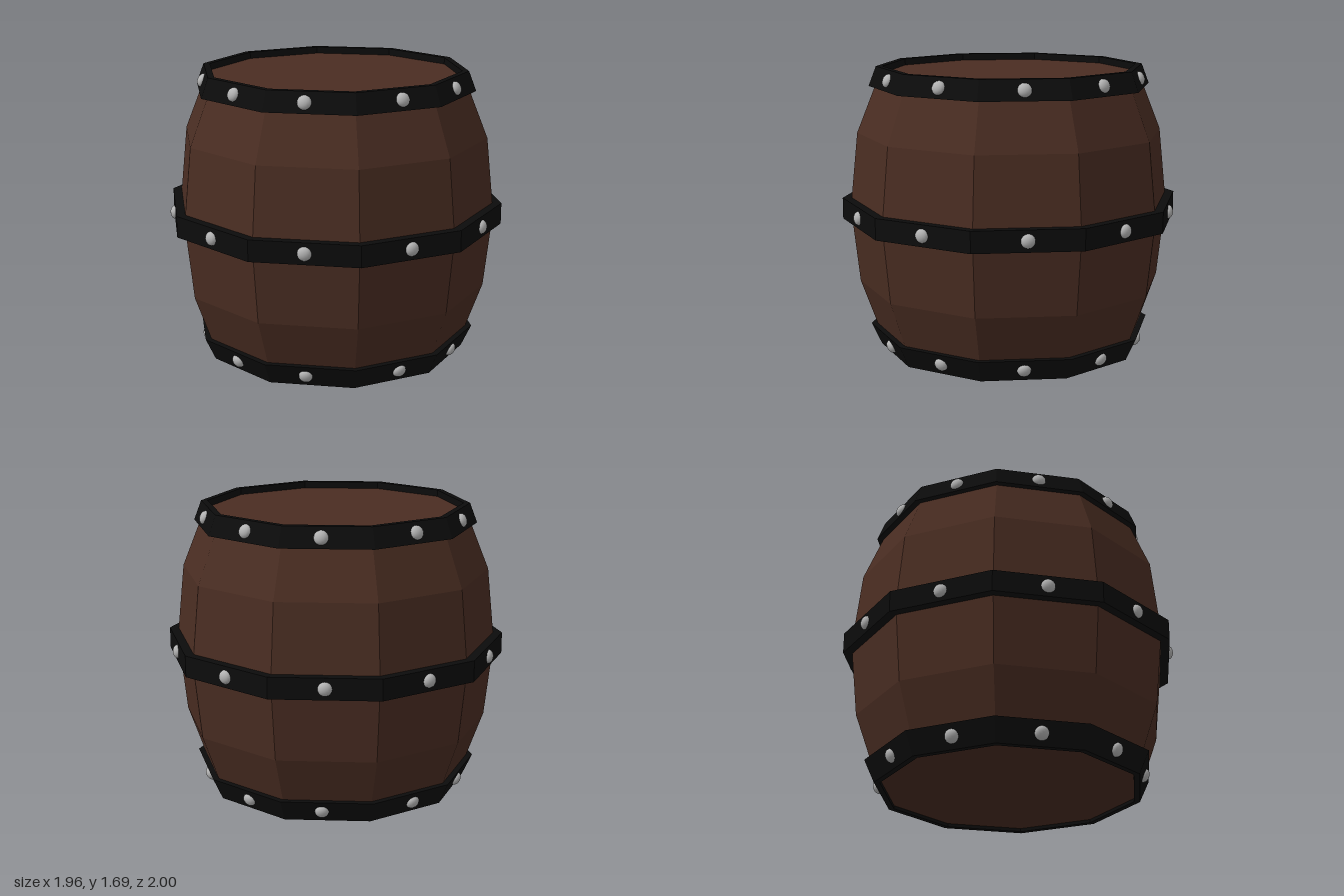
import * as THREE from 'three';

const SIDES = 10;

const material = (name, color) => {
  const m = new THREE.MeshStandardMaterial({ color });
  m.name = name;
  return m;
};

// Ten-sided faceted solid turned from a profile of [radius, y] points, bottom to top
function facetedLathe(profile) {
  const points = profile.map(([r, y]) => new THREE.Vector2(r, y));
  const geometry = new THREE.LatheGeometry(points, SIDES).toNonIndexed();
  geometry.computeVertexNormals();
  return geometry;
}

export function createModel() {
  const wood = material('brown wood', 0x4a2d22);
  const iron = material('black iron', 0x0c0c0c);
  const steel = material('grey steel', 0xb4b4b4);

  const barrel = new THREE.Group();
  barrel.name = 'barrel';

  // Wooden body with lids set slightly below the rims
  const body = new THREE.Mesh(facetedLathe([
    [0, 0.02], [0.77, 0.02], [0.905, 0.4], [0.953, 0.85],
    [0.905, 1.3], [0.765, 1.65], [0, 1.65],
  ]), wood);
  body.name = 'woodenBody';
  barrel.add(body);

  // Hoops: outer radius at the bottom and top edge, inner radius, rivet sideways shift
  const hoops = [
    { name: 'bottomHoop', y0: 0, y1: 0.13, r0: 0.785, r1: 0.845, inner: 0.75, shift: 0.03 },
    { name: 'middleHoop', y0: 0.785, y1: 0.91, r0: 1, r1: 1, inner: 0.9, shift: 0 },
    { name: 'topHoop', y0: 1.575, y1: 1.69, r0: 0.832, r1: 0.788, inner: 0.75, shift: 0.03 },
  ];
  const rivetGeometry = new THREE.SphereGeometry(0.04, 16, 12);

  for (const { name, y0, y1, r0, r1, inner, shift } of hoops) {
    const hoop = new THREE.Group();
    hoop.name = name;
    const band = new THREE.Mesh(facetedLathe([
      [inner, y0], [r0, y0], [r1, y1], [inner, y1], [inner, y0],
    ]), iron);
    band.name = 'band';
    hoop.add(band);

    // One flattened rivet per flat face, leaning with the band
    const apothem = ((r0 + r1) / 2) * Math.cos(Math.PI / SIDES);
    const lean = Math.atan2(r1 - r0, y1 - y0);
    for (let i = 0; i < SIDES; i++) {
      const a = ((i + 0.5) / SIDES) * Math.PI * 2;
      const nearFrontOrBack = Math.abs(Math.cos(a)) > 0.9;
      const s = nearFrontOrBack ? shift * Math.sign(Math.tan(a)) : 0;
      const rivet = new THREE.Mesh(rivetGeometry, steel);
      rivet.name = 'rivet';
      rivet.position.set(
        apothem * Math.sin(a) + s * Math.cos(a),
        (y0 + y1) / 2,
        apothem * Math.cos(a) - s * Math.sin(a),
      );
      rivet.rotation.set(lean, a, 0, 'YXZ');
      rivet.scale.z = 0.7;
      hoop.add(rivet);
    }
    barrel.add(hoop);
  }
  return barrel;
}
